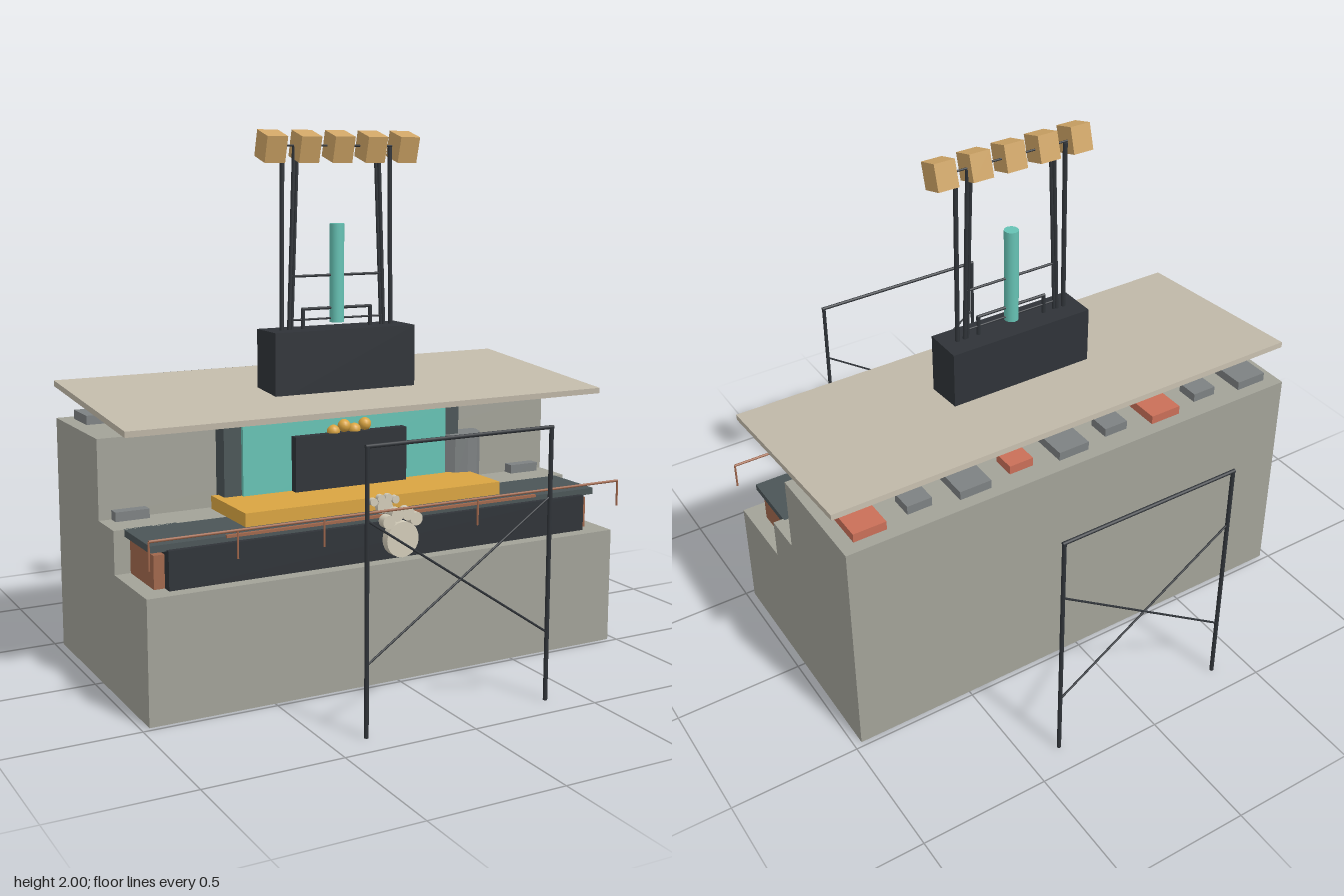
import * as THREE from 'three';

const mats = {};
const mat = (color) => (mats[color] ??= new THREE.MeshStandardMaterial({ color, flatShading: true }));
const smooth = (color) => new THREE.MeshStandardMaterial({ color });

const STONE = 0xa2a298, DARK = 0x2f3338, SLATE = 0x4b5557, TEAL = 0x66c2b4, AMBER = 0xd9a441,
  RUST = 0xa0674c, ROOF = 0xc2baaa, WOOD = 0xcfa566, RED = 0xc96f58, GREY = 0x7d8182, BONE = 0xd2cbb8;

export function createModel() {
  const model = new THREE.Group();

  const add = (name, geometry, material, x = 0, y = 0, z = 0, parent = model) => {
    const mesh = new THREE.Mesh(geometry, material);
    mesh.name = name;
    mesh.position.set(x, y, z);
    parent.add(mesh);
    return mesh;
  };
  // Box given by its limits on each axis
  const box = (name, color, [x0, x1], [y0, y1], [z0, z1], parent) =>
    add(name, new THREE.BoxGeometry(x1 - x0, y1 - y0, z1 - z0), mat(color),
      (x0 + x1) / 2, (y0 + y1) / 2, (z0 + z1) / 2, parent);
  // Round bar between two points
  const bar = (name, color, a, b, r, parent) => {
    const p = new THREE.Vector3(...a), q = new THREE.Vector3(...b);
    const mesh = add(name, new THREE.CylinderGeometry(r, r, p.distanceTo(q), 8), smooth(color), 0, 0, 0, parent);
    mesh.position.copy(p).add(q).multiplyScalar(0.5);
    mesh.quaternion.setFromUnitVectors(new THREE.Vector3(0, 1, 0), q.sub(p).normalize());
    return mesh;
  };
  const group = (name) => {
    const g = new THREE.Group();
    g.name = name;
    model.add(g);
    return g;
  };

  // Stepped body: side profile drawn as (-z, y), extruded along x
  const profile = new THREE.Shape([[-0.48, 0], [0.48, 0], [0.48, 0.91], [0, 0.91], [0, 0.61],
    [-0.16, 0.61], [-0.16, 0.45], [-0.48, 0.45]].map(([a, b]) => new THREE.Vector2(a, b)));
  const bodyGeo = new THREE.ExtrudeGeometry(profile, { depth: 1.94, bevelEnabled: false });
  bodyGeo.translate(0, 0, -0.97).rotateY(Math.PI / 2);
  add('steppedBody', bodyGeo, mat(STONE));

  // Front counter
  box('counterCore', RUST, [-0.91, 0.91], [0.45, 0.57], [0.16, 0.39]);
  box('counterFront', DARK, [-0.87, 0.87], [0.45, 0.59], [0.16, 0.43]);
  box('counterTop', SLATE, [-0.93, 0.93], [0.585, 0.61], [0.15, 0.41]);
  box('counterTrim', RUST, [-0.65, 0.65], [0.605, 0.615], [0.405, 0.418]);
  box('tray', AMBER, [-0.54, 0.54], [0.605, 0.66], [0.02, 0.33]);

  // Rail with drop posts
  const rail = group('frontRail');
  bar('railBar', RUST, [-0.97, 0.655, 0.51], [0.97, 0.655, 0.51], 0.005, rail);
  for (const x of [-0.97, -0.65, -0.32, 0.32, 0.65, 0.97])
    bar('railPost', RUST, [x, 0.555, 0.51], [x, 0.655, 0.51], 0.004, rail);

  // Paw emblem: round pad and toes, plus a smaller row of toes behind
  const paw = group('pawEmblem');
  const disc = (name, r, x, y, z, depth) =>
    add(name, new THREE.CylinderGeometry(r, r, depth, 20).rotateX(Math.PI / 2), smooth(BONE), x, y, z, paw);
  disc('pawPad', 0.066, 0, 0.54, 0.492, 0.035);
  for (const s of [-1, 1]) {
    disc('outerToe', 0.025, s * 0.057, 0.61, 0.492, 0.035);
    disc('innerToe', 0.025, s * 0.022, 0.633, 0.492, 0.035);
    disc('smallOuterToe', 0.015, s * 0.046, 0.655, 0.37, 0.02);
    disc('smallInnerToe', 0.015, s * 0.016, 0.665, 0.37, 0.02);
  }
  disc('smallPad', 0.032, 0, 0.632, 0.37, 0.02);

  // Recessed stall: frame, glowing panel, fire box and beads
  box('stallFrame', SLATE, [-0.51, 0.51], [0.6, 0.985], [-0.075, 0.075]);
  box('stallPanel', TEAL, [-0.44, 0.44], [0.61, 0.935], [0.06, 0.09]);
  box('stallBox', DARK, [-0.24, 0.24], [0.61, 0.87], [0.07, 0.125]);
  [-0.068, -0.022, 0.022, 0.068].forEach((x, i) =>
    add('bead', new THREE.SphereGeometry(0.025, 14, 10), smooth(AMBER), x, i % 2 ? 0.893 : 0.875, 0.1));

  // Barrel
  add('barrel', new THREE.CylinderGeometry(0.103, 0.103, 0.19, 12), mat(GREY), 0.527, 0.715, 0.02);

  // Small blocks on the middle step, and crates along the back ledge
  for (const s of [-1, 1])
    box('stepBlock', GREY, [s * 0.857 - 0.065, s * 0.857 + 0.065], [0.61, 0.645], [-0.02, 0.045]);
  for (let i = 0; i < 9; i++) {
    const x = 0.85 - i * 0.2125, large = i % 2 === 0;
    const w = large ? 0.065 : 0.05, d = large ? 0.075 : 0.045;
    box('crate', i % 3 === 0 ? RED : GREY, [x - w, x + w], [0.91, 0.945], [-0.355 - d, -0.355 + d]);
  }

  // Sloping roof and the block through it
  add('roof', new THREE.BoxGeometry(1.98, 0.022, 0.795), mat(ROOF), 0, 1.021, -0.037).rotation.x = 0.082;
  box('roofBlock', DARK, [-0.3, 0.3], [1.0, 1.26], [-0.08, 0.08]);

  // Mast: teal tube, leaning poles, cross bars and bracket
  const mast = group('mast');
  add('mastTube', new THREE.CylinderGeometry(0.028, 0.028, 0.375, 16), smooth(TEAL), 0, 1.467, 0, mast);
  for (const s of [-1, 1]) {
    bar('outerPole', DARK, [s * 0.236, 1.25, 0], [s * 0.229, 1.94, 0], 0.009, mast);
    bar('innerPole', DARK, [s * 0.205, 1.25, 0], [s * 0.18, 1.94, 0], 0.008, mast);
    bar('innerBrace', DARK, [s * 0.193, 1.25, 0], [s * 0.165, 1.94, 0], 0.006, mast);
    bar('bracketLeg', DARK, [s * 0.145, 1.25, 0], [s * 0.145, 1.335, 0], 0.008, mast);
  }
  for (const [y, w, r] of [[1.945, 0.28, 0.004], [1.46, 0.19, 0.005], [1.335, 0.15, 0.006], [1.295, 0.2, 0.004]])
    bar('crossBar', DARK, [-w, y, 0], [w, y, 0], r, mast);

  // Tilted lamp boxes
  for (let i = -2; i <= 2; i++)
    add('lampBox', new THREE.BoxGeometry(0.083, 0.1, 0.093), mat(WOOD), i * 0.14, 1.942, 0.014, mast).rotation.x = 0.28;

  // Free-standing gates in front and behind
  for (const z of [-0.893, 0.893]) {
    const gate = group(z > 0 ? 'frontGate' : 'backGate');
    bar('gateTop', DARK, [-0.37, 0.985, z], [0.37, 0.985, z], 0.007, gate);
    for (const s of [-1, 1]) {
      bar('gatePost', DARK, [s * 0.363, 0, z], [s * 0.363, 0.985, z], 0.008, gate);
      bar('gateBrace', DARK, [s * -0.363, 0.74, z], [s * 0.363, 0.25, z], 0.004, gate);
    }
  }
  return model;
}
